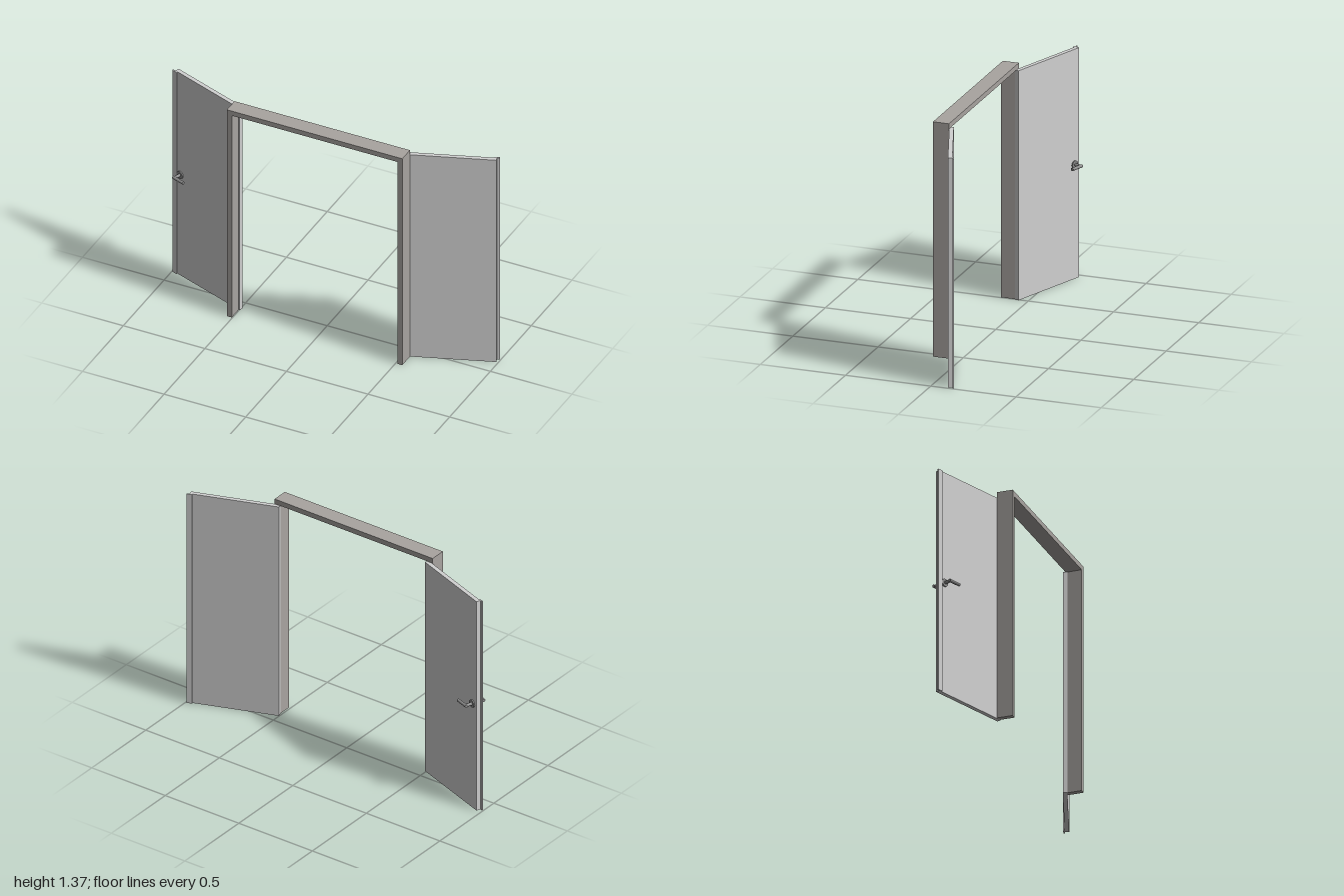
import * as THREE from 'three';

const FRAME = { x0: -0.534, x1: 0.541, top: 1.365, wall: 0.03, z0: 0.068, z1: 0.162 };
const LEAF = { length: 0.51, thick: 0.025, height: 1.334, angle: THREE.MathUtils.degToRad(20) };

const material = (name, color) => {
  const m = new THREE.MeshStandardMaterial({ color });
  m.name = name;
  return m;
};

// Box given by its minimum and maximum corners
function box(name, mat, [x0, y0, z0], [x1, y1, z1]) {
  const mesh = new THREE.Mesh(new THREE.BoxGeometry(x1 - x0, y1 - y0, z1 - z0), mat);
  mesh.name = name;
  mesh.position.set((x0 + x1) / 2, (y0 + y1) / 2, (z0 + z1) / 2);
  return mesh;
}

// Round bar between two points
function bar(name, mat, a, b, radius) {
  const from = new THREE.Vector3(...a), to = new THREE.Vector3(...b);
  const dir = to.clone().sub(from);
  const mesh = new THREE.Mesh(new THREE.CylinderGeometry(radius, radius, dir.length(), 20), mat);
  mesh.name = name;
  mesh.position.copy(from).add(to).multiplyScalar(0.5);
  mesh.quaternion.setFromUnitVectors(new THREE.Vector3(0, 1, 0), dir.normalize());
  return mesh;
}

// Door frame: two jambs and a head, one extruded outline
function doorFrame(mat) {
  const { x0, x1, top, wall, z0, z1 } = FRAME;
  const outline = new THREE.Shape([
    [x0, 0], [x0 + wall, 0], [x0 + wall, top - wall], [x1 - wall, top - wall],
    [x1 - wall, 0], [x1, 0], [x1, top], [x0, top],
  ].map(([x, y]) => new THREE.Vector2(x, y)));
  const geometry = new THREE.ExtrudeGeometry(outline, { depth: z1 - z0, bevelEnabled: false });
  const mesh = new THREE.Mesh(geometry, mat);
  mesh.name = 'doorFrame';
  mesh.position.z = z0;
  return mesh;
}

// Leaf hinged at its local origin; side is +1 (left) or -1 (right)
function doorLeaf(name, mat, side, hingeX) {
  const { length, thick, height, angle } = LEAF;
  const leaf = new THREE.Group();
  leaf.name = name;
  leaf.position.set(hingeX, 0, 0.0665);
  leaf.rotation.y = side * angle;
  const span = (a, b) => (side > 0 ? [a, b] : [-b, -a]);
  const [p0, p1] = span(0, length);
  leaf.add(box('leafPanel', mat, [p0, 0, -thick / 2], [p1, height, thick / 2]));
  // Meeting strip overlaps the free edge: behind on the left, in front on the right
  const [s0, s1] = span(length - 0.016, length + 0.016);
  const z = side > 0 ? -thick / 2 - 0.008 : thick / 2;
  leaf.add(box('meetingStrip', mat, [s0, 0, z], [s1, height, z + 0.008]));
  return leaf;
}

// Lever handle on one face; face is +1 (front) or -1 (back)
function leverHandle(mat, face) {
  const handle = new THREE.Group();
  handle.name = face > 0 ? 'frontHandle' : 'backHandle';
  const x = -0.47, y = 0.665, r = 0.009, reach = 0.058, skin = LEAF.thick / 2;
  handle.add(
    bar('rose', mat, [x, y, face * skin], [x, y, face * (skin + 0.007)], 0.023),
    bar('spindle', mat, [x, y, face * skin], [x, y, face * reach], r),
    bar('lever', mat, [x - r, y, face * reach], [x + 0.072, y, face * reach], r),
  );
  return handle;
}

export function createModel() {
  const frameGrey = material('frame grey', 0xa8a4a0);
  const leafGrey = material('leaf light grey', 0xd0d0d0);
  const metal = material('handle grey', 0x8c8c8c);

  const model = new THREE.Group();
  model.name = 'doubleDoor';
  const rightLeaf = doorLeaf('rightLeaf', leafGrey, -1, -0.495);
  rightLeaf.add(leverHandle(metal, 1), leverHandle(metal, -1));
  model.add(doorFrame(frameGrey), doorLeaf('leftLeaf', leafGrey, 1, 0.505), rightLeaf);
  return model;
}
